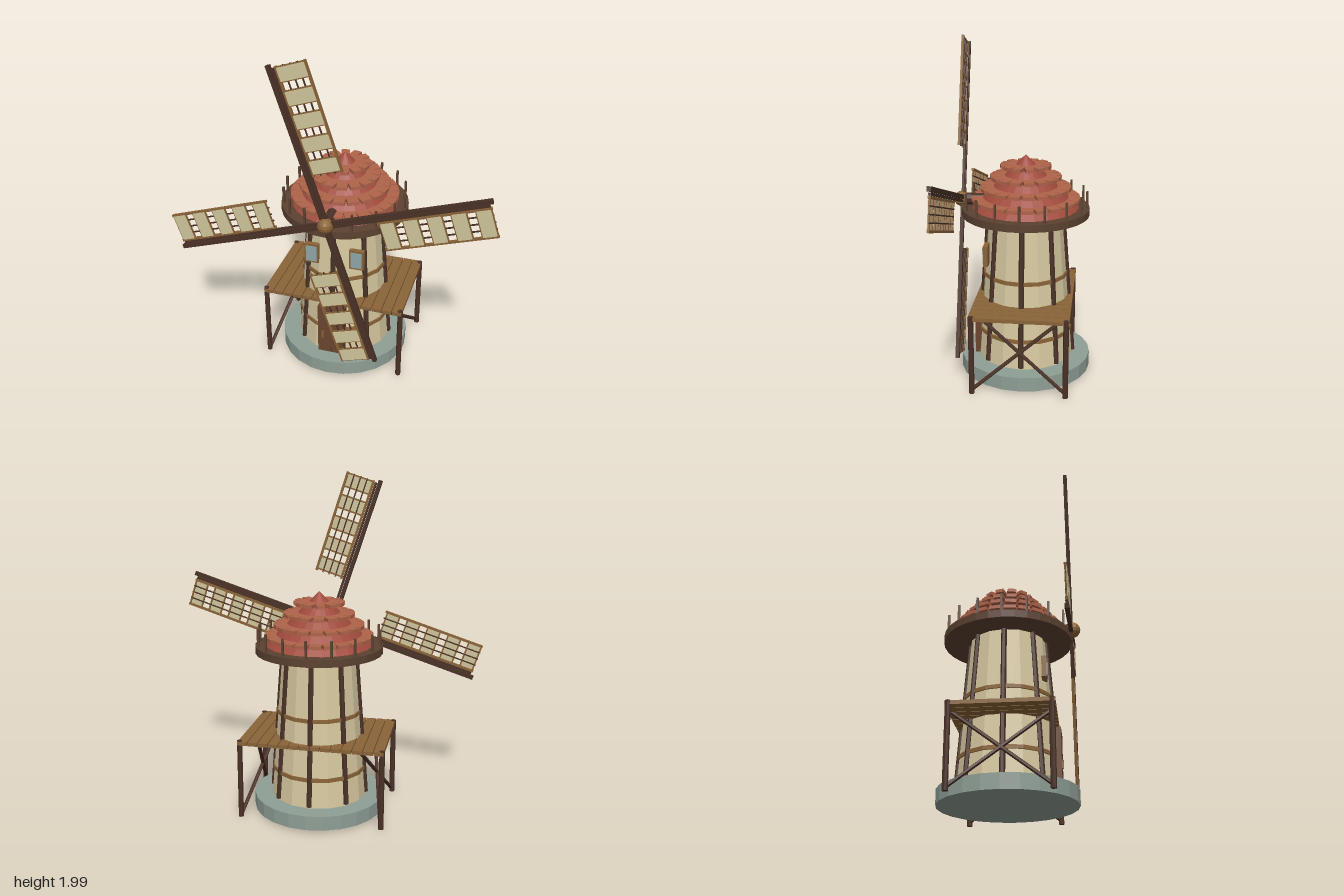
import * as THREE from 'three';

const mat = (name, color) => {
  const m = new THREE.MeshStandardMaterial({ color, flatShading: true });
  m.name = name;
  return m;
};

export function createModel() {
  const plaster = mat('plaster', 0xd6c8a0);
  const stone = mat('stone', 0x8f9f96);
  const darkWood = mat('darkWood', 0x4a3126);
  const lightWood = mat('lightWood', 0x8a6438);
  const rimWood = mat('rimWood', 0x5c4231);
  const doorWood = mat('doorWood', 0x69452f);
  const roofRed = mat('roofRed', 0xa04a3c);
  const tileRed = mat('tileRed', 0xb0644a);
  const glass = mat('glass', 0x8fa5a8);
  const canvas = mat('canvas', 0xcfc49c);

  const model = new THREE.Group();
  model.name = 'windmill';
  const body = new THREE.Group();
  body.name = 'body';
  body.position.z = -0.015;
  model.add(body);

  const add = (parent, name, geo, material, x = 0, y = 0, z = 0) => {
    const m = new THREE.Mesh(geo, material);
    m.name = name;
    m.position.set(x, y, z);
    parent.add(m);
    return m;
  };
  const box = (parent, name, material, w, h, d, x, y, z) =>
    add(parent, name, new THREE.BoxGeometry(w, h, d), material, x, y, z);
  // Round beam between two points
  const beam = (parent, name, material, a, b, r, sides = 6) => {
    const p = new THREE.Vector3(...a), q = new THREE.Vector3(...b);
    const m = add(parent, name, new THREE.CylinderGeometry(r, r, p.distanceTo(q), sides), material);
    m.position.copy(p).add(q).multiplyScalar(0.5);
    m.quaternion.setFromUnitVectors(new THREE.Vector3(0, 1, 0), q.sub(p).normalize());
    return m;
  };

  // Base and tower
  add(body, 'base', new THREE.CylinderGeometry(0.392, 0.392, 0.085, 24), stone, 0, 0.0575, 0);
  add(body, 'tower', new THREE.CylinderGeometry(0.218, 0.288, 0.9, 16), plaster, 0, 0.545, 0);
  const radiusAt = y => 0.288 - (y - 0.095) * 0.0778;

  // Upright timbers and hoops
  for (let i = 0; i < 8; i++) {
    const a = i * Math.PI / 4, s = Math.sin(a), c = Math.cos(a);
    const r0 = radiusAt(0.11), r1 = radiusAt(0.98);
    beam(body, 'towerTimber', darkWood, [s * r0, 0.11, c * r0], [s * r1, 0.98, c * r1], 0.016);
  }
  for (const y of [0.27, 0.62]) {
    const r = radiusAt(y);
    add(body, 'towerHoop', new THREE.CylinderGeometry(r + 0.008, r + 0.009, 0.022, 16), lightWood, 0, y, 0);
  }

  // Door
  box(body, 'door', doorWood, 0.165, 0.335, 0.06, 0, 0.265, 0.27);
  box(body, 'doorHandle', lightWood, 0.012, 0.05, 0.012, -0.05, 0.23, 0.303);

  // Windows
  for (const s of [-1, 1]) {
    box(body, 'windowFrame', lightWood, 0.088, 0.125, 0.028, s * 0.137, 0.757, 0.218);
    box(body, 'windowPane', glass, 0.066, 0.1, 0.006, s * 0.137, 0.757, 0.234);
  }

  // Deck planks with posts and crossed braces
  const planks = 14, pitch = 0.86 / planks;
  for (let i = 0; i < planks; i++) {
    box(body, 'deckPlank', lightWood, pitch - 0.005, 0.022, 0.575, -0.43 + pitch * (i + 0.5), 0.468, 0);
  }
  for (const sx of [-1, 1]) {
    for (const sz of [-1, 1]) {
      beam(body, 'deckPost', darkWood, [sx * 0.418, 0.005, sz * 0.27], [sx * 0.418, 0.482, sz * 0.27], 0.016, 8);
      beam(body, 'deckBrace', darkWood, [sx * 0.412, 0.03, sz * 0.265], [sx * 0.3, 0.455, -sz * 0.265], 0.011);
    }
  }

  // Roof rim with short stakes
  add(body, 'roofRim', new THREE.CylinderGeometry(0.376, 0.376, 0.044, 32), rimWood, 0, 0.997, 0);
  for (let i = 0; i < 16; i++) {
    const a = i * Math.PI / 8;
    box(body, 'rimStake', rimWood, 0.013, 0.11, 0.013, Math.sin(a) * 0.36, 1.065, Math.cos(a) * 0.36);
  }

  // Roof cone with rows of flat tiles
  add(body, 'roofCone', new THREE.ConeGeometry(0.33, 0.33, 24), roofRed, 0, 1.167, 0);
  const rows = [[1.265, 0.148, 12], [1.2, 0.207, 16], [1.135, 0.265, 20], [1.07, 0.318, 24]];
  for (const [y, outer, count] of rows) {
    const inner = outer - 0.1;
    const width = 2 * Math.PI * (outer - 0.055) / count;
    for (let i = 0; i < count; i++) {
      const a = (i + 0.5) * 2 * Math.PI / count, r = (inner + outer) / 2;
      const tile = box(body, 'roofTile', tileRed, width, 0.02, outer - inner, Math.sin(a) * r, y, Math.cos(a) * r);
      tile.rotation.y = a;
    }
  }

  // Hub and shaft
  const hubY = 1.055, bladeZ = 0.358;
  const shaft = add(model, 'shaft', new THREE.CylinderGeometry(0.037, 0.037, 0.25, 10), darkWood, 0, hubY, 0.235);
  shaft.rotation.x = Math.PI / 2;
  add(model, 'hub', new THREE.SphereGeometry(0.046, 12, 8), lightWood, 0, hubY, 0.366);

  // Four sails, each drawn pointing up with its lattice on +x
  for (let k = 0; k < 4; k++) {
    const sail = new THREE.Group();
    sail.name = 'sail';
    sail.position.set(0, hubY, bladeZ);
    sail.rotation.z = Math.PI / 10 + k * Math.PI / 2;
    model.add(sail);
    box(sail, 'spar', darkWood, 0.024, 0.94, 0.022, -0.008, 0.47, 0);
    box(sail, 'sparBatten', darkWood, 0.014, 0.92, 0.014, 0.015, 0.46, 0);
    for (const x of [0.032, 0.197]) box(sail, 'sailRail', lightWood, 0.014, 0.63, 0.014, x, 0.612, 0);
    for (const x of [0.073, 0.114, 0.155]) box(sail, 'latticeBar', darkWood, 0.007, 0.63, 0.007, x, 0.612, -0.002);
    for (let i = 0; i < 5; i++) {
      const y = 0.35 + i * 0.1325;
      box(sail, 'sailCloth', canvas, 0.158, 0.076, 0.005, 0.114, y, 0.005);
      for (const s of [-1, 1]) box(sail, 'latticeRung', lightWood, 0.18, 0.009, 0.009, 0.114, y + s * 0.04, -0.001);
    }
  }
  return model;
}
